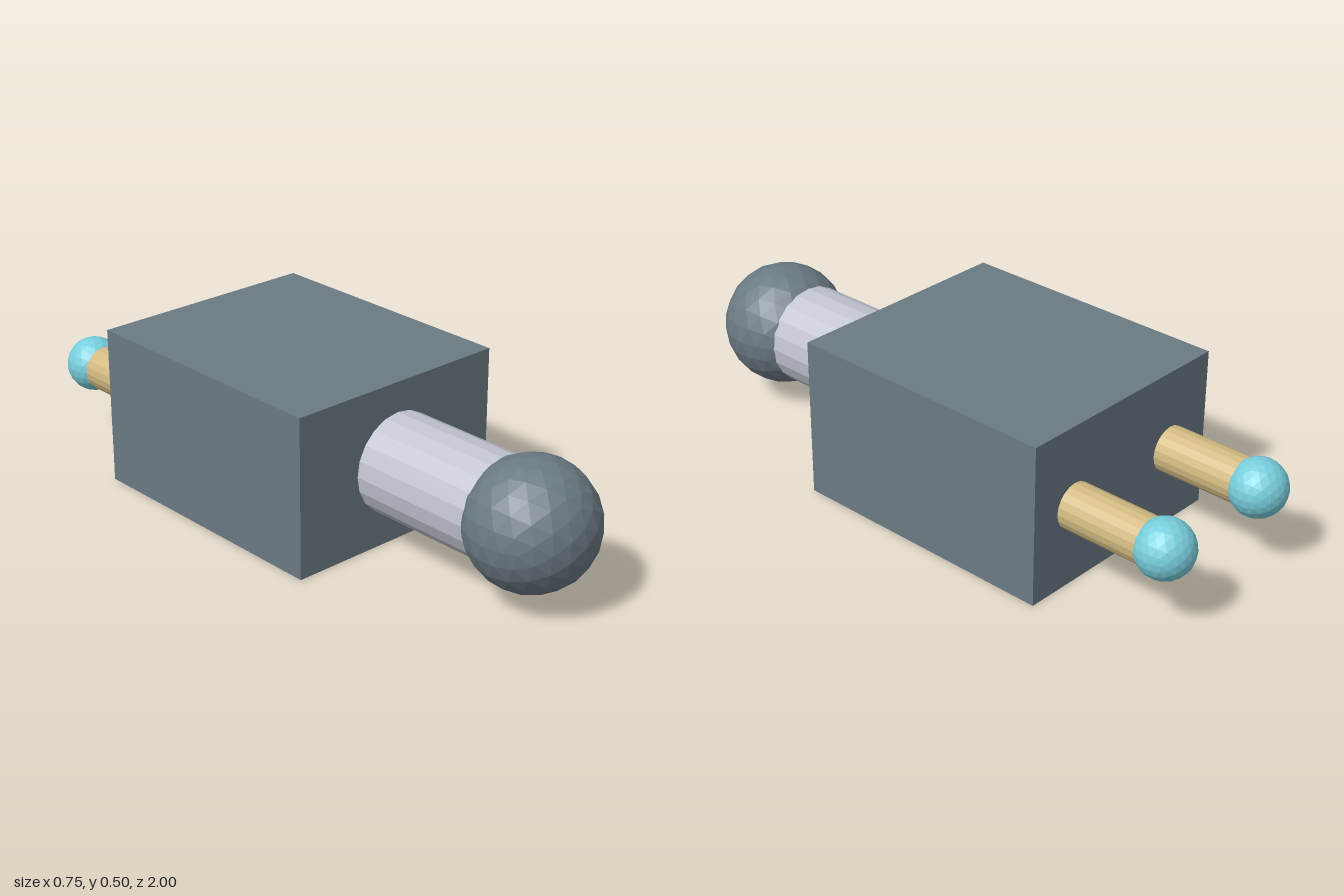
import * as THREE from 'three';

const material = (name, color) => {
  const m = new THREE.MeshStandardMaterial({ color, flatShading: true });
  m.name = name;
  return m;
};

export function createModel() {
  const slate = material('slate', 0x6b7a83);
  const silver = material('silver', 0xc2c5d0);
  const brass = material('brass', 0xd2ba82);
  const aqua = material('aqua', 0x78cedc);

  const group = new THREE.Group();
  group.name = 'model';
  const midY = 0.251;

  const add = (name, geometry, mat, x, y, z) => {
    const mesh = new THREE.Mesh(geometry, mat);
    mesh.name = name;
    mesh.position.set(x, y, z);
    group.add(mesh);
  };

  // Cylinder lying along z between two depths
  const rod = (name, radius, z0, z1, mat, x) =>
    add(name, new THREE.CylinderGeometry(radius, radius, z1 - z0, 20).rotateX(Math.PI / 2),
      mat, x, midY, (z0 + z1) / 2);

  // Faceted ball
  const ball = (name, radius, mat, x, z) =>
    add(name, new THREE.IcosahedronGeometry(radius, 3), mat, x, midY, z);

  // Block body
  add('body', new THREE.BoxGeometry(0.75, 0.502, 0.88), slate, 0, midY, -0.159);

  // Thick front shaft and its ball
  rod('frontShaft', 0.157, 0.27, 0.8, silver, 0);
  ball('frontBall', 0.196, slate, 0, 0.804);

  // Pair of rear pins with ball tips
  for (const [side, s] of [['left', 1], ['right', -1]]) {
    rod(side + 'Pin', 0.0705, -0.912, -0.59, brass, s * 0.21);
    ball(side + 'PinTip', 0.088, aqua, s * 0.21, -0.912);
  }

  return group;
}
